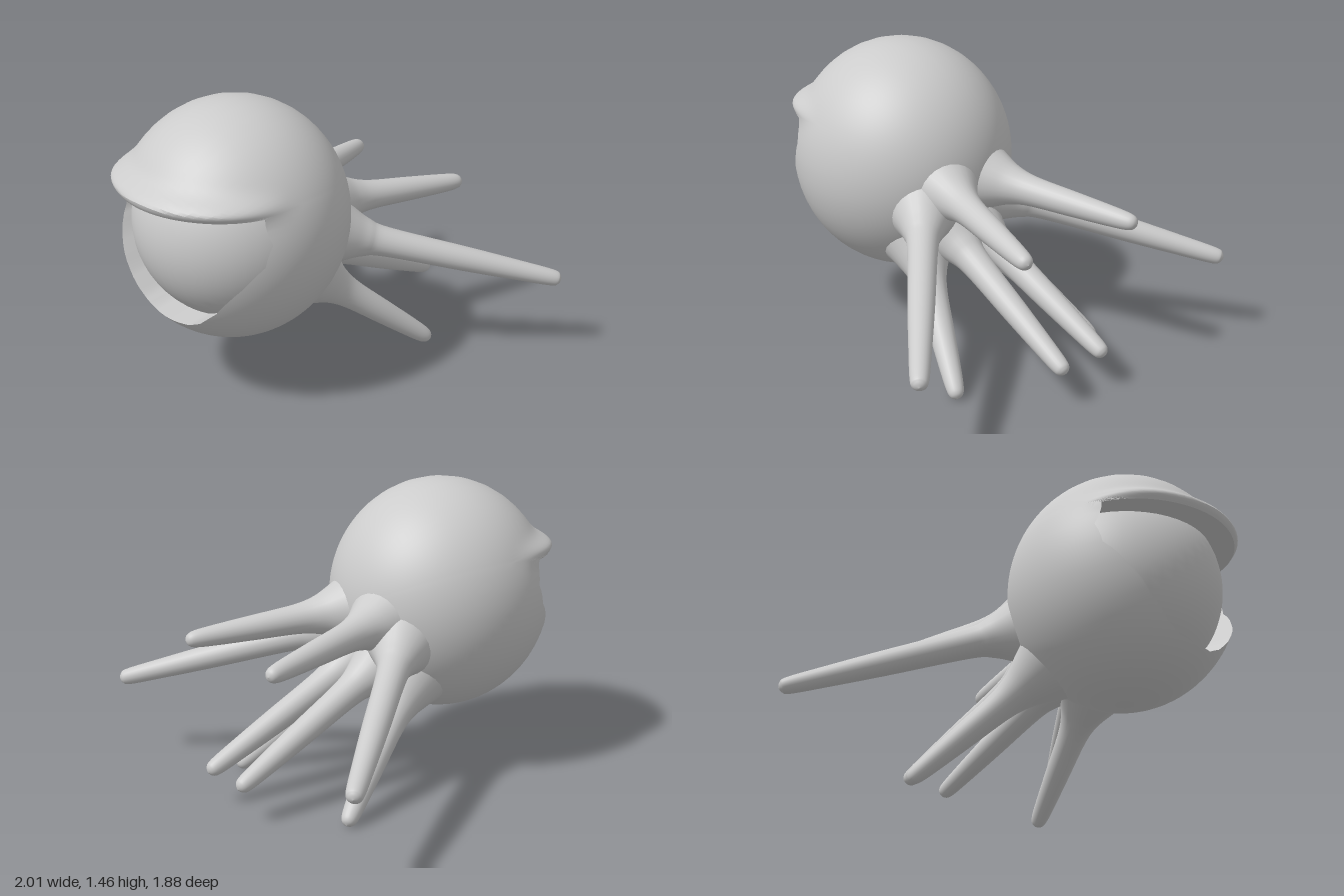
import * as THREE from 'three';
import { toCreasedNormals } from 'three/addons/utils/BufferGeometryUtils.js';

const CENTER = new THREE.Vector3(0, 0.88, 0.37);
const RADII = new THREE.Vector3(0.54, 0.58, 0.565);

const material = new THREE.MeshStandardMaterial({ color: 0xcccccc, roughness: 0.7 });
const shellMaterial = material.clone();
shellMaterial.side = THREE.DoubleSide;

// Half outline of the face opening, from top middle down to the chin, as [x, y, steps to next]
const OPENING = [
  [0, 1.09, 14], [0.45, 1.09, 4], [0.49, 0.97, 3], [0.48, 0.87, 3], [0.42, 0.77, 4],
  [0.3, 0.62, 4], [0.2, 0.535, 3], [0.12, 0.497, 4], [0, 0.485, 0],
];

function openingLoop() {
  const half = [];
  OPENING.forEach(([x, y, steps], i) => {
    if (!steps) return half.push([x, y]);
    const [nx, ny] = OPENING[i + 1];
    for (let s = 0; s < steps; s++) half.push([x + (nx - x) * s / steps, y + (ny - y) * s / steps]);
  });
  const mirrored = half.slice(1, -1).reverse().map(([x, y]) => [-x, y]);
  return [...half, ...mirrored];
}

// Hood: arcs from the opening's rim round to the back, with a brim swelling over the top edge
function hoodGeometry() {
  const loop = openingLoop(), rows = 52, cols = loop.length;
  const positions = [], index = [];
  const back = new THREE.Vector3(0, 0, -1);

  const place = (u) => {
    const p = u.clone().multiply(RADII);
    const brim = 0.06 * Math.exp(-(((p.y - 0.25) / 0.045) ** 2)) * THREE.MathUtils.smoothstep(u.z, 0.1, 0.75);
    const flat = Math.hypot(p.x, p.z) || 1;
    p.x += brim * p.x / flat;
    p.z += brim * p.z / flat;
    return p;
  };

  for (const [x, y] of loop) {
    const rim = new THREE.Vector3(x / RADII.x, (y - CENTER.y) / RADII.y, 0);
    rim.z = Math.sqrt(Math.max(0, 1 - rim.lengthSq()));
    const angle = rim.angleTo(back);
    const edge = place(rim);
    // Inner lip running back to the eye
    positions.push(edge.x * 0.97, edge.y * 0.97, edge.z - 0.2);
    for (let r = 0; r <= rows; r++) {
      const t = (r / rows) ** 1.3;
      const u = rim.clone().multiplyScalar(Math.sin((1 - t) * angle))
        .addScaledVector(back, Math.sin(t * angle)).divideScalar(Math.sin(angle));
      positions.push(...place(u).toArray());
    }
  }
  const stride = rows + 2;
  for (let c = 0; c < cols; c++) {
    for (let r = 0; r < stride - 1; r++) {
      const a = c * stride + r, b = ((c + 1) % cols) * stride + r;
      index.push(a, a + 1, b);
      if (r < stride - 2) index.push(b, a + 1, b + 1);
    }
  }
  const geometry = new THREE.BufferGeometry();
  geometry.setAttribute('position', new THREE.Float32BufferAttribute(positions, 3));
  geometry.setIndex(index);
  return toCreasedNormals(geometry, 0.6);
}

// Tentacle: flared root, gentle taper and rounded tip
function tentacle(name, base, tip) {
  const start = new THREE.Vector3(...base), end = new THREE.Vector3(...tip);
  const axis = end.clone().sub(start), length = axis.length();
  const profile = new THREE.SplineCurve([
    [0.19, -0.1], [0.135, 0], [0.095, 0.09], [0.073, 0.2], [0.061, length * 0.55],
    [0.05, length * 0.8], [0.041, length - 0.05], [0.027, length - 0.013], [0, length],
  ].map(([r, h]) => new THREE.Vector2(r, h)));
  const points = profile.getPoints(48).map((p) => p.setX(Math.max(0, p.x)));
  const mesh = new THREE.Mesh(new THREE.LatheGeometry(points, 24), material);
  mesh.name = name;
  mesh.position.copy(start);
  mesh.quaternion.setFromUnitVectors(new THREE.Vector3(0, 1, 0), axis.normalize());
  return mesh;
}

export function createModel() {
  const model = new THREE.Group();
  model.name = 'hoodedTentacleCreature';

  const hood = new THREE.Mesh(hoodGeometry(), shellMaterial);
  hood.name = 'hood';
  hood.position.copy(CENTER);
  model.add(hood);

  // Large round eye filling the opening
  const eye = new THREE.Mesh(new THREE.SphereGeometry(0.48, 48, 32), material);
  eye.name = 'eye';
  eye.position.copy(CENTER);
  model.add(eye);

  // Four mirrored pairs of tentacles
  const pairs = {
    SideTentacle: [[0.28, 0.71, -0.12], [0.99, 0.42, -0.93]],
    UpperTentacle: [[0.15, 0.83, -0.18], [0.35, 0.77, -0.905]],
    LowerTentacle: [[0.085, 0.58, -0.12], [0.13, 0.18, -0.94]],
    BottomTentacle: [[0.2, 0.47, -0.03], [0.46, 0.015, -0.57]],
  };
  for (const [name, [base, tip]] of Object.entries(pairs)) {
    for (const side of [1, -1]) {
      const flip = ([x, y, z]) => [x * side, y, z];
      model.add(tentacle((side > 0 ? 'left' : 'right') + name, flip(base), flip(tip)));
    }
  }
  return model;
}
